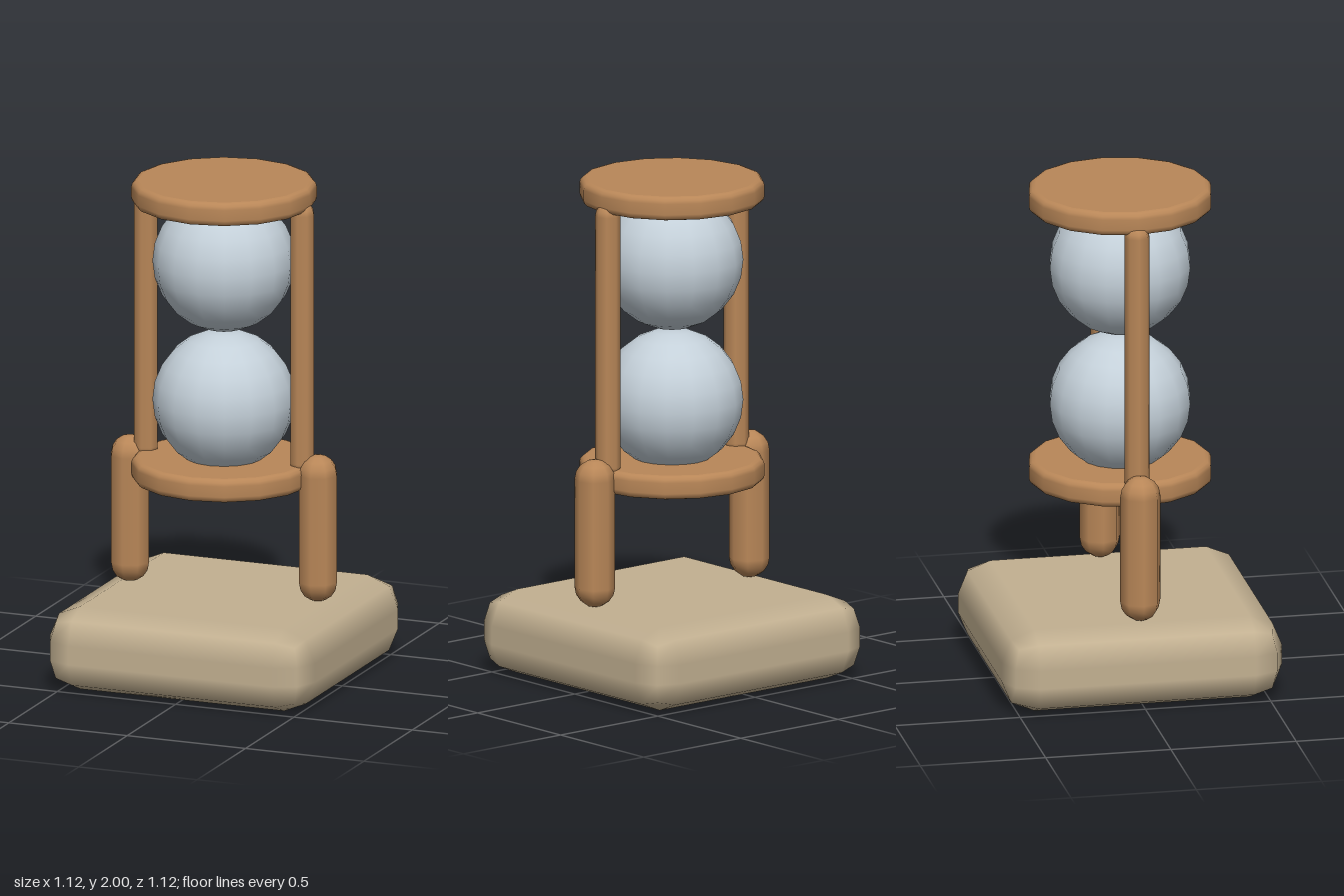
import * as THREE from 'three';
import { RoundedBoxGeometry } from 'three/addons/geometries/RoundedBoxGeometry.js';

const material = (name, color) => {
  const m = new THREE.MeshStandardMaterial({ color });
  m.name = name;
  return m;
};

export function createModel() {
  const group = new THREE.Group();
  const wood = material('wood', 0xb98758);
  const stone = material('stone', 0xc2b091);
  const glass = material('glass', 0xc4d0d9);

  const add = (name, geometry, mat, x, y, z = 0) => {
    const mesh = new THREE.Mesh(geometry, mat);
    mesh.name = name;
    mesh.position.set(x, y, z);
    group.add(mesh);
    return mesh;
  };

  // Upright capsule spanning y0 to y1
  const post = (name, r, x, y0, y1) =>
    add(name, new THREE.CapsuleGeometry(r, y1 - y0 - 2 * r, 4, 8), wood, x, (y0 + y1) / 2);

  // Round plate with a softened rim; doubled points keep the flat faces crisp
  const plate = (name, y) => {
    const R = 0.363, h = 0.0475, b = 0.026;
    const profile = [new THREE.Vector2(0, -h), new THREE.Vector2(R - b, -h), new THREE.Vector2(R - b, -h)];
    for (let i = 0; i <= 6; i++) {
      const a = -Math.PI / 2 + (Math.PI * i) / 6;
      const side = i < 3 ? -1 : 1;
      if (i === 3) {
        profile.push(new THREE.Vector2(R, -h + b), new THREE.Vector2(R, h - b));
      } else if (i > 0 && i < 6) {
        profile.push(new THREE.Vector2(R - b + b * Math.cos(a), side * (h - b) + b * Math.sin(a)));
      }
    }
    profile.push(new THREE.Vector2(R - b, h), new THREE.Vector2(R - b, h), new THREE.Vector2(0, h));
    return add(name, new THREE.LatheGeometry(profile, 16), wood, 0, y);
  };

  // Base slab
  add('base', new RoundedBoxGeometry(1.12, 0.335, 1.12, 1, 0.13), stone, 0, 0.1675);

  // Top and bottom plates
  plate('lowerPlate', 0.832);
  plate('upperPlate', 1.9525);

  // Glass bulbs
  add('lowerBulb', new THREE.SphereGeometry(0.28, 16, 12), glass, 0, 1.112);
  add('upperBulb', new THREE.SphereGeometry(0.28, 16, 12), glass, 0, 1.674);

  // Legs and pillars, mirrored left and right
  for (const [side, s] of [['left', 1], ['right', -1]]) {
    post(side + 'Leg', 0.08, s * 0.397, 0.335, 0.927);
    post(side + 'Pillar', 0.05, s * 0.33, 0.84, 1.945);
  }

  return group;
}
